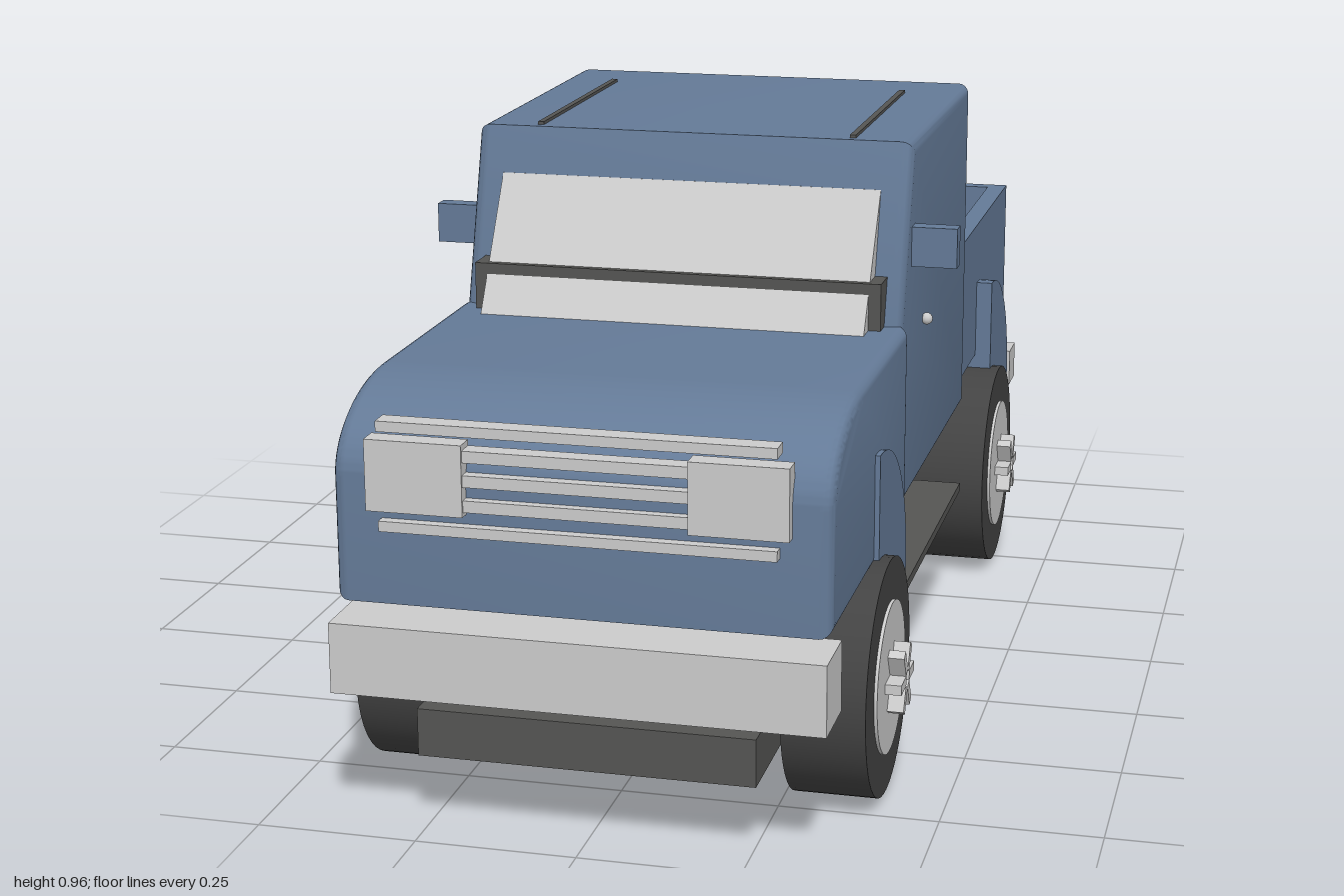
import * as THREE from 'three';
import { toCreasedNormals } from 'three/addons/utils/BufferGeometryUtils.js';

const mat = (color) => new THREE.MeshStandardMaterial({ color });
const BLUE = mat(0x647a97), GREY = mat(0xcccccc), DARK = mat(0x555553), TIRE = mat(0x434343), RED = mat(0xcc1010);

export function createModel() {
  const truck = new THREE.Group();

  const add = (name, geometry, material, parent = truck) => {
    const mesh = new THREE.Mesh(geometry, material);
    mesh.name = name;
    parent.add(mesh);
    return mesh;
  };

  // Box given by its limits on each axis
  const box = (name, material, [x0, x1], [y0, y1], [z0, z1]) => {
    const g = new THREE.BoxGeometry(x1 - x0, y1 - y0, z1 - z0);
    g.translate((x0 + x1) / 2, (y0 + y1) / 2, (z0 + z1) / 2);
    return add(name, g, material);
  };

  // The same box on both sides
  const boxPair = (name, material, [x0, x1], ys, zs) => {
    box(name + 'Left', material, [x0, x1], ys, zs);
    box(name + 'Right', material, [-x1, -x0], ys, zs);
  };

  // Side profile in (z, y), extruded across x from x0 to x1
  const sideExtrude = (shape, x0, x1, bevel = 0) => {
    const g = new THREE.ExtrudeGeometry(shape, {
      depth: x1 - x0 - 2 * bevel, curveSegments: 24, bevelEnabled: bevel > 0,
      bevelSize: bevel, bevelThickness: bevel, bevelOffset: -bevel, bevelSegments: 5,
    });
    g.translate(0, 0, bevel - (x1 - x0) / 2);
    g.rotateY(-Math.PI / 2);
    g.translate((x0 + x1) / 2, 0, 0);
    return toCreasedNormals(g, 0.6);
  };
  const polygon = (points) => new THREE.Shape(points.map(([z, y]) => new THREE.Vector2(z, y)));

  // Chassis and steps
  box('chassis', DARK, [-0.26, 0.26], [0.115, 0.19], [-0.845, 0.947]);
  boxPair('runningBoard', DARK, [0.26, 0.375], [0.22, 0.235], [-0.21, 0.41]);

  // Hood with a rounded nose
  const hood = new THREE.Shape();
  hood.moveTo(0.365, 0.36);
  hood.lineTo(0.965, 0.36);
  hood.lineTo(0.965, 0.55);
  hood.absellipse(0.75, 0.55, 0.215, 0.122, 0, Math.PI / 2, false);
  hood.lineTo(0.365, 0.672);
  add('hood', sideExtrude(hood, -0.375, 0.375, 0.02), BLUE);

  // Cab with a sloped front
  const cab = polygon([[-0.3, 0.36], [0.374, 0.36], [0.374, 0.672], [0.285, 0.955], [-0.3, 0.955]]);
  add('cab', sideExtrude(cab, -0.364, 0.364, 0.02), BLUE);

  // Windshield over the dashboard
  const glass = polygon([[0.35, 0.66], [0.45, 0.66], [0.309, 0.88], [0.29, 0.88]]);
  add('windshield', sideExtrude(glass, -0.316, 0.316), GREY);
  box('dashboard', DARK, [-0.336, 0.336], [0.66, 0.748], [0.34, 0.405]);

  // Roof rails, mirrors and door handles
  boxPair('roofRail', DARK, [0.257, 0.267], [0.945, 0.96], [-0.178, 0.27]);
  boxPair('mirror', BLUE, [0.35, 0.438], [0.753, 0.818], [0.26, 0.29]);
  boxPair('mirrorGlass', GREY, [0.373, 0.432], [0.758, 0.813], [0.256, 0.262]);
  for (const s of [-1, 1]) {
    add('doorHandle', new THREE.SphereGeometry(0.01, 12, 8), GREY).position.set(s * 0.37, 0.636, 0.163);
  }

  // Open cargo bed
  box('bedFloor', DARK, [-0.325, 0.325], [0.378, 0.41], [-0.86, -0.29]);
  boxPair('bedSide', BLUE, [0.32, 0.354], [0.4, 0.655], [-0.885, -0.29]);
  box('tailgate', BLUE, [-0.32, 0.32], [0.4, 0.655], [-0.885, -0.857]);
  boxPair('tailLight', RED, [0.21, 0.318], [0.432, 0.616], [-0.894, -0.88]);

  // Grille and headlights
  boxPair('headlight', GREY, [0.168, 0.316], [0.508, 0.617], [0.95, 0.984]);
  for (const y of [0.524, 0.562, 0.599]) {
    box('grilleSlat', GREY, [-0.17, 0.17], [y - 0.009, y + 0.009], [0.95, 0.98]);
  }
  for (const y of [0.485, 0.637]) {
    box('grilleBar', GREY, [-0.298, 0.298], [y - 0.008, y + 0.008], [0.948, 0.982]);
  }

  // Bumpers, tow hitch and exhaust
  box('frontBumper', GREY, [-0.375, 0.375], [0.225, 0.335], [0.893, 1]);
  box('rearBumper', GREY, [-0.375, 0.375], [0.25, 0.32], [-0.919, -0.847]);
  box('hitchBar', DARK, [-0.018, 0.018], [0.208, 0.243], [-0.972, -0.865]);
  add('hitchBall', new THREE.SphereGeometry(0.02, 20, 14), GREY).position.set(0, 0.245, -0.98);
  const pipe = new THREE.CylinderGeometry(0.018, 0.018, 0.17, 20);
  pipe.rotateX(Math.PI / 2);
  add('exhaustPipe', pipe, GREY).position.set(0.225, 0.188, -0.834);

  // Wheels, each with a six-spoke hub, and half-round fenders behind them
  const disc = (r, x0, x1) => {
    const g = new THREE.CylinderGeometry(r, r, x1 - x0, 48);
    g.rotateZ(Math.PI / 2);
    g.translate((x0 + x1) / 2, 0, 0);
    return g;
  };
  for (const z of [0.647, -0.508]) {
    for (const s of [-1, 1]) {
      const wheel = new THREE.Group();
      wheel.name = (z > 0 ? 'front' : 'rear') + 'Wheel' + (s > 0 ? 'Left' : 'Right');
      wheel.position.set(0, 0.187, z);
      wheel.rotation.y = s > 0 ? 0 : Math.PI;
      add('tire', disc(0.187, 0.27, 0.4), TIRE, wheel);
      add('rim', disc(0.12, 0.266, 0.405), GREY, wheel);
      for (let i = 0; i < 6; i++) {
        const spoke = new THREE.BoxGeometry(0.035, 0.016, 0.042);
        spoke.translate(0.413, 0, 0.034);
        spoke.rotateX(i * Math.PI / 3);
        add('hubSpoke', spoke, GREY, wheel);
      }
      truck.add(wheel);

      const fender = new THREE.Shape();
      fender.absarc(z, 0.299, 0.242, Math.PI / 2, Math.PI * 1.5, false);
      fender.closePath();
      const [x0, x1] = s > 0 ? [0.255, 0.383] : [-0.383, -0.255];
      add('fender', sideExtrude(fender, x0, x1), BLUE);
    }
  }

  return truck;
}
